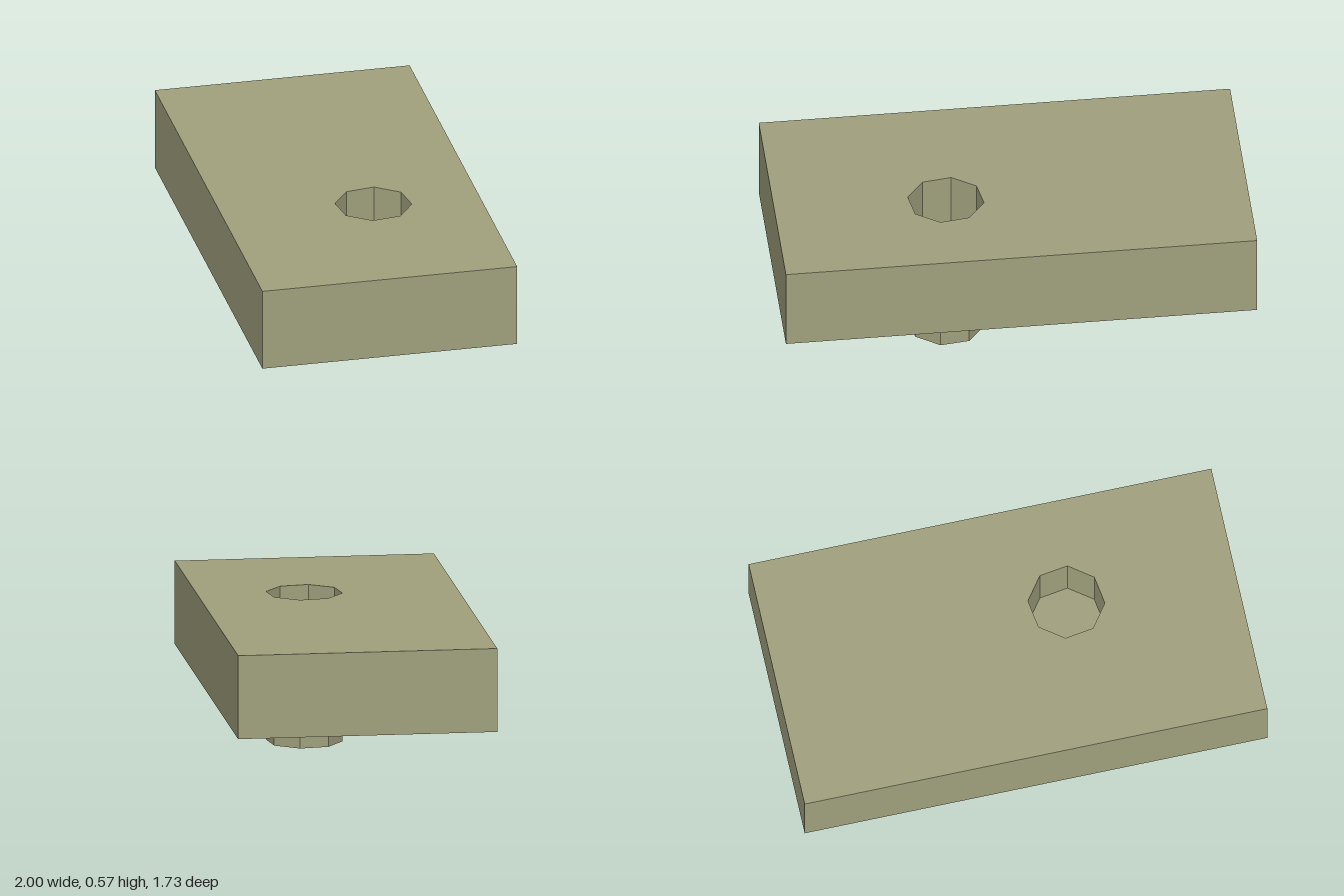
import * as THREE from 'three';

export function createModel() {
  const group = new THREE.Group();
  const material = new THREE.MeshStandardMaterial({ color: 0xa0a07d, flatShading: true });

  const hub = new THREE.Vector2(0.25, 0.05); // axis of socket and peg (x, z)
  const radius = 0.142;
  const top = 0.5625, thickness = 0.315;
  const pegTop = 0.32; // also the floor of the socket

  // Slab outline in x, z with an octagonal socket
  const outline = new THREE.Shape([[-1, -0.038], [-0.5, -0.863], [1, 0.038], [0.5, 0.863]]
    .map(([x, z]) => new THREE.Vector2(x, z))
    .filter((p, i) => i !== 3)
    .concat(new THREE.Vector2(0.5, 0.863)));
  const octagon = [];
  for (let i = 0; i < 8; i++) {
    const a = (-i * Math.PI) / 4;
    octagon.push(new THREE.Vector2(hub.x + radius * Math.cos(a), hub.y + radius * Math.sin(a)));
  }
  outline.holes.push(new THREE.Path(octagon));
  const slabGeometry = new THREE.ExtrudeGeometry(outline, { depth: thickness, bevelEnabled: false });
  slabGeometry.rotateX(Math.PI / 2).translate(0, top, 0);

  // Slight fall along the long side
  const p = slabGeometry.attributes.position;
  for (let i = 0; i < p.count; i++) {
    p.setY(i, p.getY(i) - 0.011 * (0.857 * p.getX(i) + 0.515 * p.getZ(i)));
  }
  slabGeometry.computeVertexNormals();
  const slab = new THREE.Mesh(slabGeometry, material);
  slab.name = 'slab';
  group.add(slab);

  // Octagonal peg below; its upper end closes the socket
  const peg = new THREE.Mesh(new THREE.CylinderGeometry(radius, radius, pegTop, 8), material);
  peg.position.set(hub.x, pegTop / 2, hub.y);
  peg.name = 'peg';
  group.add(peg);

  return group;
}
